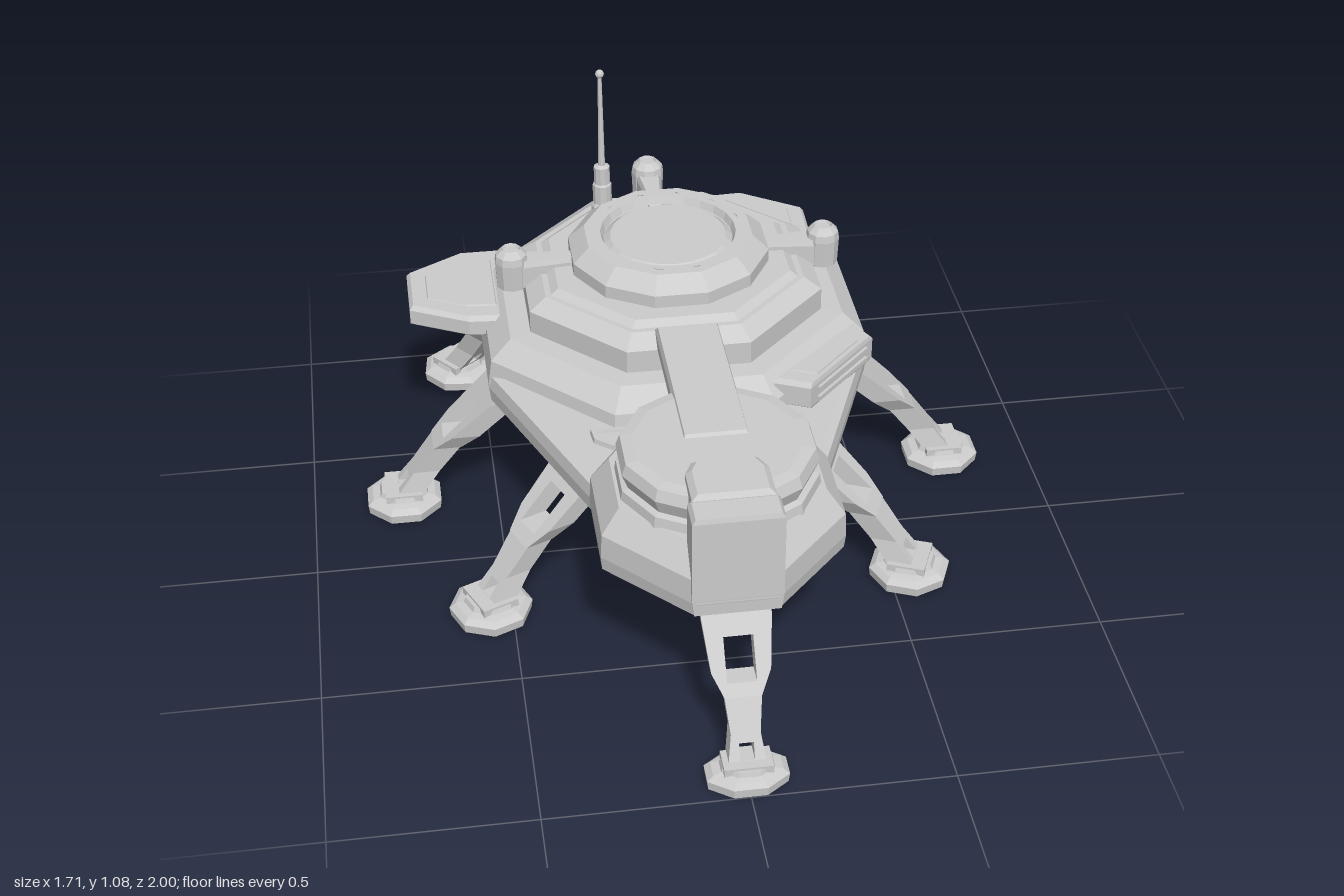
import * as THREE from 'three';

const mat = new THREE.MeshStandardMaterial({ color: 0xcccccc, flatShading: true, side: THREE.DoubleSide });

function add(parent, name, geo, x = 0, y = 0, z = 0) {
  const m = new THREE.Mesh(geo, mat);
  m.name = name;
  m.position.set(x, y, z);
  parent.add(m);
  return m;
}

// Stack scaled copies of an [x, z] outline; levels are [y, scale]
function loft(outline, levels, cx, cz) {
  const pos = [];
  const n = outline.length;
  let area = 0;
  outline.forEach(([x, z], i) => {
    const [u, w] = outline[(i + 1) % n];
    area += x * w - u * z;
  });
  const pts = area > 0 ? outline.slice().reverse() : outline;
  const at = (l, i) => [cx + (pts[i % n][0] - cx) * l[1], l[0], cz + (pts[i % n][1] - cz) * l[1]];
  const bottom = levels[0], top = levels[levels.length - 1];
  for (let i = 0; i < n; i++) {
    for (let k = 0; k + 1 < levels.length; k++) {
      const a = at(levels[k], i), b = at(levels[k], i + 1);
      const c = at(levels[k + 1], i + 1), d = at(levels[k + 1], i);
      pos.push(...a, ...b, ...c, ...a, ...c, ...d);
    }
    pos.push(cx, top[0], cz, ...at(top, i), ...at(top, i + 1));
    pos.push(cx, bottom[0], cz, ...at(bottom, i + 1), ...at(bottom, i));
  }
  const g = new THREE.BufferGeometry();
  g.setAttribute('position', new THREE.Float32BufferAttribute(pos, 3));
  g.computeVertexNormals();
  return g;
}

// Faceted turned part with flats on the axes; profile is [apothem, y]
function turned(profile, sides) {
  const k = 1 / Math.cos(Math.PI / sides);
  return new THREE.LatheGeometry(profile.map(([r, y]) => new THREE.Vector2(r * k, y)), sides, Math.PI / sides);
}

const mirror = half => [...half, ...half.slice().reverse().map(([x, z]) => [-x, z])];
const rect = (x0, x1, z0, z1) => [[x0, z0], [x1, z0], [x1, z1], [x0, z1]];

// Holed plate leaning outward from (y0, z0) to (y1, z1)
function leaningPlate(half, hole, y0, z0, y1, z1, depth) {
  const shape = new THREE.Shape(mirror(half).map(p => new THREE.Vector2(...p)));
  shape.holes.push(new THREE.Path(mirror(hole).map(p => new THREE.Vector2(...p))));
  const g = new THREE.ExtrudeGeometry(shape, { depth, bevelEnabled: false });
  const p = g.attributes.position;
  for (let i = 0; i < p.count; i++) {
    const t = (p.getY(i) - y0) / (y1 - y0);
    p.setZ(i, p.getZ(i) - depth / 2 + z0 + (z1 - z0) * t);
  }
  g.computeVertexNormals();
  return g;
}

function makeLeg(footX, footZ, angle, squash) {
  const leg = new THREE.Group();
  leg.name = 'leg';
  const reach = 0.33 * squash;
  leg.position.set(footX - Math.sin(angle) * reach, 0, footZ - Math.cos(angle) * reach);
  leg.rotation.y = angle;
  leg.scale.z = squash;
  add(leg, 'upperStrut', leaningPlate(
    [[0.085, 0.4], [0.085, 0.355], [0.072, 0.25], [0.045, 0.2]],
    [[0.036, 0.318], [0.036, 0.228]], 0.4, 0, 0.2, 0.205, 0.075));
  add(leg, 'lowerStrut', leaningPlate(
    [[0.045, 0.2], [0.036, 0.12], [0.048, 0.045]],
    [[0.018, 0.1], [0.018, 0.062]], 0.2, 0.205, 0.045, 0.32, 0.07));
  add(leg, 'ankle', new THREE.BoxGeometry(0.12, 0.022, 0.1), 0, 0.05, 0.33);
  add(leg, 'foot', turned([[0, 0], [0.097, 0], [0.1, 0.025], [0.085, 0.038], [0.065, 0.042], [0.06, 0.055], [0, 0.055]], 8), 0, 0, 0.33);
  return leg;
}

export function createModel() {
  const model = new THREE.Group();
  model.name = 'walkerBase';

  // Hull tray with a wide rear and a narrow nose
  const hull = mirror([[0.214, -0.92], [0.51, -0.615], [0.51, -0.19], [0.3, 0.33], [0.3, 0.57], [0.1, 0.78]]);
  add(model, 'hull', loft(hull, [[0.38, 0.99], [0.42, 1], [0.455, 0.985], [0.465, 0.94]], 0, 0));

  // Stepped octagonal rear deck
  add(model, 'rearDeck', turned([[0.51, 0.43], [0.5, 0.5], [0.445, 0.55], [0.39, 0.552], [0.39, 0.615],
    [0.345, 0.645], [0.33, 0.645], [0.31, 0.66], [0, 0.66]], 8), 0, 0, -0.4);
  add(model, 'hatchRing', turned([[0.22, 0.58], [0.235, 0.64], [0.262, 0.66], [0.262, 0.695], [0.22, 0.735],
    [0.195, 0.735]], 12), 0, 0, -0.4);
  add(model, 'hatchLip', turned([[0.198, 0.735], [0.18, 0.735], [0.172, 0.715]], 24), 0, 0, -0.4);
  add(model, 'hatchCover', new THREE.CylinderGeometry(0.155, 0.175, 0.015, 24), 0, 0.716, -0.4);

  // Nose deck and round cabin
  const nose = mirror([[0.15, 0.12], [0.3, 0.33], [0.3, 0.57], [0.1, 0.78]]);
  add(model, 'noseDeck', loft(nose, [[0.42, 1], [0.485, 0.99], [0.55, 0.84]], 0, 0.45));
  add(model, 'cabin', turned([[0.245, 0.54], [0.24, 0.575], [0.225, 0.58], [0.24, 0.62], [0.23, 0.65], [0.2, 0.655], [0, 0.655]], 12), 0, 0, 0.455);
  add(model, 'frontPanel', loft(rect(-0.11, 0.11, 0.7, 0.78), [[0.385, 0.95], [0.43, 1], [0.655, 1], [0.668, 0.92]], 0, 0.74));
  add(model, 'cabinHood', loft(mirror([[0.08, 0.56], [0.1, 0.6], [0.1, 0.71]]), [[0.62, 1.02], [0.67, 1], [0.683, 0.85]], 0, 0.64));

  // Beam joining the cabin to the rear deck
  add(model, 'beam', loft(rect(-0.082, 0.082, -0.06, 0.45), [[0.615, 1], [0.645, 1], [0.662, 0.93]], 0, 0.195));
  add(model, 'neck', loft(mirror([[0.08, -0.02], [0.12, 0.08], [0.12, 0.15], [0.07, 0.24]]), [[0.44, 1], [0.485, 0.9]], 0, 0.1));
  for (const s of [1, -1]) {
    const frame = [[0.165, 0.12], [0.275, 0.12], [0.27, 0.165], [0.22, 0.205], [0.17, 0.17]];
    add(model, 'deckHatch', loft(frame.map(([x, z]) => [x * s, z]), [[0.45, 1.05], [0.478, 0.95], [0.478, 0.7], [0.47, 0.65]], 0.22 * s, 0.155));
  }

  // Side pods with bevelled edges and raised lids
  const pod = (name, outline, y0, y1) => {
    const cx = outline.reduce((a, p) => a + p[0], 0) / outline.length;
    const cz = outline.reduce((a, p) => a + p[1], 0) / outline.length;
    add(model, name, loft(outline, [[y0, 0.9], [y0 + 0.012, 1], [y1 - 0.012, 1], [y1, 0.93]], cx, cz));
    add(model, name + 'Lid', loft(outline, [[y1 - 0.005, 0.68], [y1 + 0.004, 0.64]], cx, cz));
  };
  pod('sidePod', [[-0.7, -0.615], [-0.545, -0.705], [-0.42, -0.705], [-0.42, -0.345], [-0.545, -0.355], [-0.7, -0.435]], 0.47, 0.535);
  pod('rearPod', [[0.16, -0.92], [0.28, -0.925], [0.45, -0.81], [0.445, -0.66], [0.37, -0.68], [0.16, -0.85]], 0.475, 0.532);
  pod('ventPod', [[0.47, -0.18], [0.505, -0.11], [0.3, 0.1], [0.21, 0.06]], 0.46, 0.542);
  for (const y of [0.485, 0.515]) {
    const slat = add(model, 'ventSlat', new THREE.BoxGeometry(0.23, 0.013, 0.02), 0.4, y, -0.005);
    slat.rotation.y = Math.atan2(0.21, 0.205);
  }

  // Three capped posts tied to the hatch ring by tapered arms
  [-Math.PI / 2, Math.PI / 2, Math.PI].forEach(angle => {
    const arm = new THREE.Group();
    arm.name = 'postArm';
    arm.position.z = -0.4;
    arm.rotation.y = angle;
    add(arm, 'post', turned([[0, 0.605], [0.04, 0.605], [0.043, 0.68], [0.04, 0.7], [0.024, 0.717], [0.02, 0.71], [0, 0.71]], 10), 0, 0, 0.422);
    add(arm, 'arm', loft([[-0.018, 0.24], [0.018, 0.24], [0.035, 0.41], [-0.035, 0.41]], [[0.61, 1], [0.67, 1], [0.685, 0.8]], 0, 0.33));
    model.add(arm);
  });

  // Antenna mast
  add(model, 'antenna', turned([[0.03, 0.64], [0.03, 0.67], [0.025, 0.68], [0.025, 0.735], [0.021, 0.74], [0.021, 0.79],
    [0.009, 0.795], [0.005, 1.07]], 10), -0.145, 0, -0.675);
  add(model, 'antennaTip', new THREE.SphereGeometry(0.012, 10, 8), -0.145, 1.072, -0.675);

  // Seven splayed legs
  model.add(makeLeg(0, 0.93, 0, 0.7));
  for (const s of [1, -1]) {
    model.add(makeLeg(0.555 * s, 0.225, 1.16 * s, 1));
    model.add(makeLeg(0.755 * s, -0.28, Math.PI / 2 * s, 1));
    model.add(makeLeg(0.56 * s, -0.895, 2.47 * s, 1));
  }
  return model;
}
